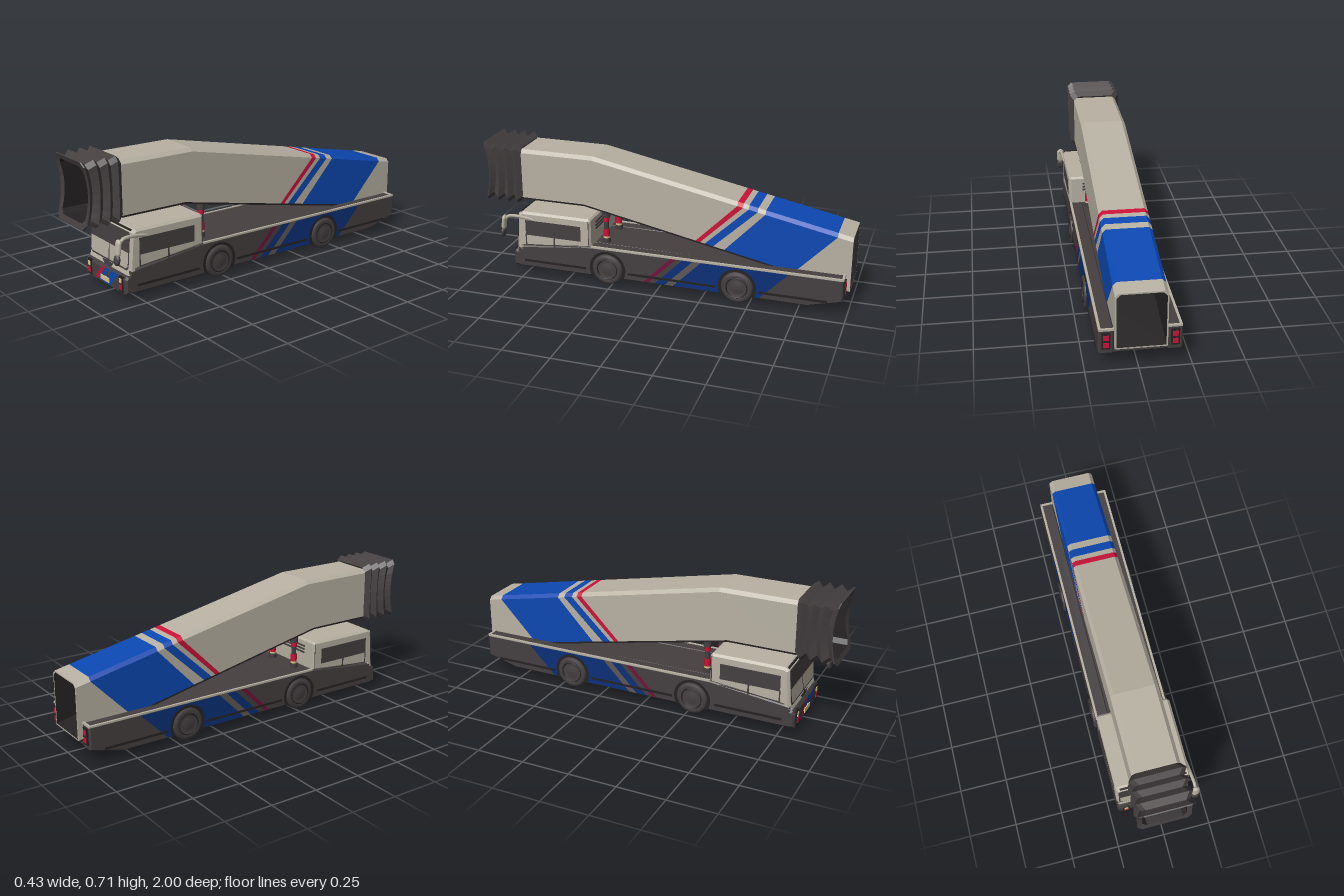
import * as THREE from 'three';

const paint = (name, color) => new THREE.MeshStandardMaterial({ name, color, side: THREE.DoubleSide });

export function createModel() {
  const light = paint('warm light grey', 0xb8b1a3), dark = paint('dark grey', 0x453f40);
  const black = paint('black', 0x252223), blue = paint('blue', 0x0c48b2), red = paint('red', 0xcc1238);
  const navy = paint('dark blue', 0x0a2f78), wine = paint('dark red', 0x70123a);
  const grey = paint('mid grey', 0x5e5855), cream = paint('cream yellow', 0xdcc68a);

  const model = new THREE.Group();
  model.name = 'boardingBridgeTruck';
  const truck = new THREE.Group();
  truck.name = 'truck';
  truck.position.x = -0.01;
  model.add(truck);

  const add = (name, geo, mat, x = 0, y = 0, z = 0) => {
    const m = new THREE.Mesh(geo, mat);
    m.name = name;
    m.position.set(x, y, z);
    truck.add(m);
    return m;
  };
  const box = (name, mat, w, h, d, x, y, z) => add(name, new THREE.BoxGeometry(w, h, d), mat, x, y, z);
  const shape = pts => new THREE.Shape(pts.map(p => new THREE.Vector2(p[0], p[1])));

  // Side profile of [z, y] points extruded across x, with bevelled ends
  const slab = (name, mat, pts, width, x = 0, bevel = 0.006) => {
    const g = new THREE.ExtrudeGeometry(shape(pts), {
      depth: width - 2 * bevel, bevelEnabled: true, bevelThickness: bevel,
      bevelSize: bevel, bevelOffset: -bevel, bevelSegments: 1,
    });
    g.translate(0, 0, bevel - width / 2).rotateY(-Math.PI / 2);
    return add(name, g, mat, x);
  };
  // Thin painted plate of [z, y] points on both sides
  const sidePlates = (name, mat, pts, x) => {
    for (const s of [1, -1]) add(name, new THREE.ShapeGeometry(shape(pts)).rotateY(-Math.PI / 2), mat, s * x);
  };
  // Thin painted plate of [x, y] points on the front, z given by a rule
  const frontPlate = (name, mat, pts, zAt) => {
    const g = new THREE.ShapeGeometry(shape(pts)), p = g.attributes.position;
    for (let i = 0; i < p.count; i++) p.setZ(i, zAt(p.getY(i)));
    g.computeVertexNormals();
    add(name, g, mat);
  };
  const rect = (a, b, c, d) => [[a, b], [c, b], [c, d], [a, d]];
  // Flat-faced skin through a list of rings
  const loft = (rings, closed) => {
    const v = [];
    for (let i = 0; i + 1 < rings.length; i++) {
      const a = rings[i], b = rings[i + 1], n = a.length;
      for (let j = 0; j < (closed ? n : n - 1); j++) {
        const k = (j + 1) % n;
        v.push(...a[j], ...a[k], ...b[k], ...a[j], ...b[k], ...b[j]);
      }
    }
    const g = new THREE.BufferGeometry();
    g.setAttribute('position', new THREE.Float32BufferAttribute(v, 3));
    g.computeVertexNormals();
    return g;
  };

  // Chassis: two side pods and a middle section that drops towards the rear
  const pod = [[0.8, 0.035], [0.8, 0.15], [0.37, 0.2], [-0.975, 0.2], [-0.975, 0.08], [-0.8, 0.035]];
  for (const s of [1, -1]) slab('chassisSide', dark, pod, 0.073, s * 0.1585);
  slab('chassisMiddle', dark, [[0.8, 0.035], [0.8, 0.15], [0.37, 0.2], [-0.6, 0.195], [-0.97, 0.1],
    [-0.97, 0.08], [-0.8, 0.035]], 0.246, 0, 0.001);
  slab('frontBumper', dark, [[0.77, 0.035], [0.825, 0.035], [0.825, 0.11], [0.813, 0.127], [0.77, 0.127]], 0.39, 0, 0.01);

  // Chassis stripes, leaning backwards
  const lean = 0.15;
  for (const [name, mat, a, b] of [['redStripe', wine, -0.075, -0.105], ['narrowBlueStripe', navy, -0.14, -0.195],
    ['greyStripe', grey, -0.195, -0.24], ['wideBlueStripe', navy, -0.24, -0.7]])
    sidePlates(name, mat, [[a, 0.194], [a + lean, 0.041], [b + lean, 0.041], [b, 0.194]], 0.1965);

  // Trim rails along the deck edge and lower rub strips
  for (const s of [1, -1]) {
    box('deckRail', light, 0.012, 0.009, 1.34, s * 0.188, 0.2, -0.302);
    box('rearRail', light, 0.07, 0.01, 0.012, s * 0.158, 0.2, -0.971);
    for (const [a, b] of [[0.4, 0.76], [-0.32, 0.16], [-0.9, -0.55]])
      box('rubStrip', black, 0.006, 0.012, b - a, s * 0.196, 0.073, (a + b) / 2);
    // Tail lights
    box('tailLightHousing', black, 0.04, 0.085, 0.012, s * 0.16, 0.145, -0.977);
    for (const y of [0.125, 0.163]) box('tailLight', red, 0.026, 0.026, 0.008, s * 0.16, y, -0.982);
  }

  // Wheels with hubs and arches
  for (const z of [0.275, -0.435]) {
    const arch = Array.from({ length: 17 }, (_, i) => {
      const t = -0.5 + (Math.PI + 1) * i / 16;
      return [z + 0.102 * Math.cos(t), 0.085 + 0.102 * Math.sin(t)];
    });
    sidePlates('wheelArch', black, arch, 0.1975);
    for (const s of [1, -1]) {
      const tyre = [[0.04, -0.03], [0.075, -0.03], [0.086, -0.02], [0.086, 0.02], [0.077, 0.03], [0.058, 0.03], [0.053, 0.024], [0.03, 0.024], [0.026, 0.029], [0, 0.029]];
      const g = new THREE.LatheGeometry(tyre.map(p => new THREE.Vector2(...p)), 28).rotateZ(-s * Math.PI / 2);
      add('wheel', g, dark, s * 0.177, 0.086, z);
      const ring = new THREE.TorusGeometry(0.056, 0.004, 6, 28).rotateY(Math.PI / 2);
      add('wheelRim', ring, black, s * 0.204, 0.086, z);
    }
  }

  // Cab
  slab('cab', light, [[0.37, 0.195], [0.37, 0.345], [0.38, 0.355], [0.76, 0.355], [0.785, 0.343], [0.8, 0.15],
    [0.808, 0.124], [0.76, 0.124], [0.76, 0.153]], 0.39, 0, 0.012);
  const face = lift => y => 0.8 - (y - 0.15) * 0.0777 + lift;
  frontPlate('windscreenFrame', dark, [[-0.165, 0.148], [0.165, 0.148], [0.183, 0.165], [0.185, 0.33], [0.175, 0.342],
    [-0.175, 0.342], [-0.185, 0.33], [-0.183, 0.165]], face(0.002));
  for (const s of [1, -1])
    frontPlate('lowerWindscreen', light, [[s * 0.004, 0.158], [s * 0.16, 0.158], [s * 0.177, 0.17], [s * 0.178, 0.24], [s * 0.004, 0.24]], face(0.004));
  frontPlate('wiperBase', dark, [[-0.03, 0.127], [0.03, 0.127], [0.055, 0.152], [0.012, 0.152], [0, 0.168], [-0.012, 0.152], [-0.055, 0.152]], () => 0.81);
  box('roofTrim', black, 0.35, 0.007, 0.01, 0, 0.35, 0.776);
  sidePlates('sideWindow', dark, rect(0.425, 0.225, 0.745, 0.31), 0.1965);
  sidePlates('windowPost', dark, rect(0.574, 0.172, 0.584, 0.23), 0.1965);
  sidePlates('windowSill', dark, [[0.425, 0.19], [0.745, 0.165], [0.745, 0.17], [0.425, 0.195]], 0.1965);
  sidePlates('windowFront', dark, rect(0.74, 0.165, 0.747, 0.23), 0.1965);
  sidePlates('doorSeam', dark, rect(0.378, 0.2, 0.382, 0.345), 0.1965);
  for (let i = 0; i < 3; i++) box('rearVent', dark, 0.24, 0.008, 0.006, 0, 0.28 + i * 0.018, 0.368);

  // Nose stripes, plate and headlights
  for (const [name, mat, a, b] of [['noseRedStripe', red, -0.109, -0.1], ['noseRedStripeWide', red, -0.096, -0.078],
    ['noseBlueStripe', blue, -0.072, -0.037], ['noseBlueStripeWide', blue, -0.015, 0.044]])
    frontPlate(name, mat, [[a, 0.038], [b, 0.038], [b + 0.083, 0.122], [a + 0.083, 0.122]], y => y > 0.1 ? 0.828 : 0.827);
  box('registrationPlate', cream, 0.082, 0.024, 0.008, 0, 0.062, 0.828);
  for (const s of [1, -1]) {
    box('headlightHousing', black, 0.034, 0.082, 0.01, s * 0.152, 0.08, 0.824);
    box('headlight', cream, 0.019, 0.022, 0.008, s * 0.152, 0.098, 0.829);
    box('indicator', red, 0.021, 0.026, 0.008, s * 0.152, 0.065, 0.829);
  }

  // Hanging mirror on the left
  const arm = new THREE.CatmullRomCurve3([[0.19, 0.315, 0.7], [0.198, 0.328, 0.78], [0.203, 0.325, 0.84], [0.203, 0.29, 0.868]]
    .map(p => new THREE.Vector3(...p)));
  add('mirrorArm', new THREE.TubeGeometry(arm, 12, 0.009, 6), light);
  const upper = add('mirrorTop', new THREE.CapsuleGeometry(0.021, 0.045, 4, 12), light, 0.203, 0.287, 0.866);
  const lower = add('mirrorBottom', new THREE.CapsuleGeometry(0.022, 0.01, 4, 12), dark, 0.203, 0.228, 0.874);
  for (const m of [upper, lower]) { m.scale.z = 0.6; m.rotation.x = -0.12; }

  // Lift posts under the tunnel
  for (const s of [1, -1]) for (const [name, mat, r, a, b] of [['liftBase', dark, 0.021, 0.195, 0.225],
    ['liftCollar', cream, 0.017, 0.225, 0.235], ['liftPiston', red, 0.017, 0.235, 0.275], ['liftSleeve', dark, 0.013, 0.275, 0.32],
    ['liftTop', red, 0.016, 0.32, 0.345], ['liftHead', dark, 0.022, 0.345, 0.39]])
    add(name, new THREE.CylinderGeometry(r, r, b - a, 14), mat, s * 0.095, (a + b) / 2, 0.315);

  // Tunnel: sheared rings follow the sloping roof and floor, so stripes lean
  const roofY = z => z > 0.38 ? 0.68 : 0.68 - (0.38 - z) * 0.203;
  const floorY = z => z > 0.43 ? 0.41 : z > -0.6 ? 0.41 - (0.43 - z) * 0.204 : 0.2 - (-0.6 - z) * 0.225;
  const ring = ([zb, zt], t = 0) => {
    const w = 0.122 - t, b = floorY(zb) + t, r = roofY(zt) - t, c = 0.018;
    return [[-w, b, zb], [-w, r - c, zt], [-w + c, r, zt], [w - c, r, zt], [w, r - c, zt], [w, b, zb]];
  };
  const stations = [[0.79, 0.79, light], [0.43, 0.38, light], [-0.19, -0.407, red], [-0.215, -0.437, light],
    [-0.24, -0.466, blue], [-0.285, -0.513, light], [-0.345, -0.553, blue], [-0.6, -0.79, blue], [-0.71, -0.922, light], [-1, -1, light]];
  for (let i = 0; i + 1 < stations.length; i++)
    add('tunnelShell', loft([ring(stations[i]), ring(stations[i + 1])], false), stations[i][2]);
  add('tunnelLining', loft(stations.map(s => ring(s, 0.007)), true), black);
  for (const s of [stations[0], stations[9]]) add('tunnelEndFrame', loft([ring(s), ring(s, 0.007)], true), light);
  const floorRing = z => [[-0.12, floorY(z), z], [0.12, floorY(z), z], [0.12, floorY(z) - 0.01, z], [-0.12, floorY(z) - 0.01, z]];
  add('tunnelFloor', loft([0.79, 0.43, -0.6, -0.99].map(floorRing), true), black);

  // Bellows: pleated rings whose sides bow backwards
  const bellowsRing = (z, inset) => {
    const w = 0.143 - inset, h = 0.1675 - inset, c = 0.022, pts = [[-w + c, h], [w - c, h]];
    for (let i = 0; i <= 6; i++) pts.push([w, (h - c) * (1 - i / 3)]);
    pts.push([w - c, -h], [-w + c, -h]);
    for (let i = 0; i <= 6; i++) pts.push([-w, (h - c) * (i / 3 - 1)]);
    const bow = 0.028 * Math.max(0, (z - 0.79) / 0.21);
    return pts.map(([x, y]) => [x, y + 0.5425, z - bow * (1 - (y / h) ** 2)]);
  };
  const pleats = [[0.785, 0.022], [0.815, 0], [0.843, 0.023], [0.872, 0], [0.902, 0.023], [0.932, 0], [0.966, 0.023], [0.994, 0.002], [1, 0.004]];
  add('bellows', loft(pleats.map(p => bellowsRing(...p)), true), dark);
  add('bellowsRim', loft([bellowsRing(1, 0.004), bellowsRing(0.99, 0.029)], true), dark);
  add('bellowsLining', loft([bellowsRing(0.99, 0.029), bellowsRing(0.785, 0.029)], true), black);

  return model;
}
